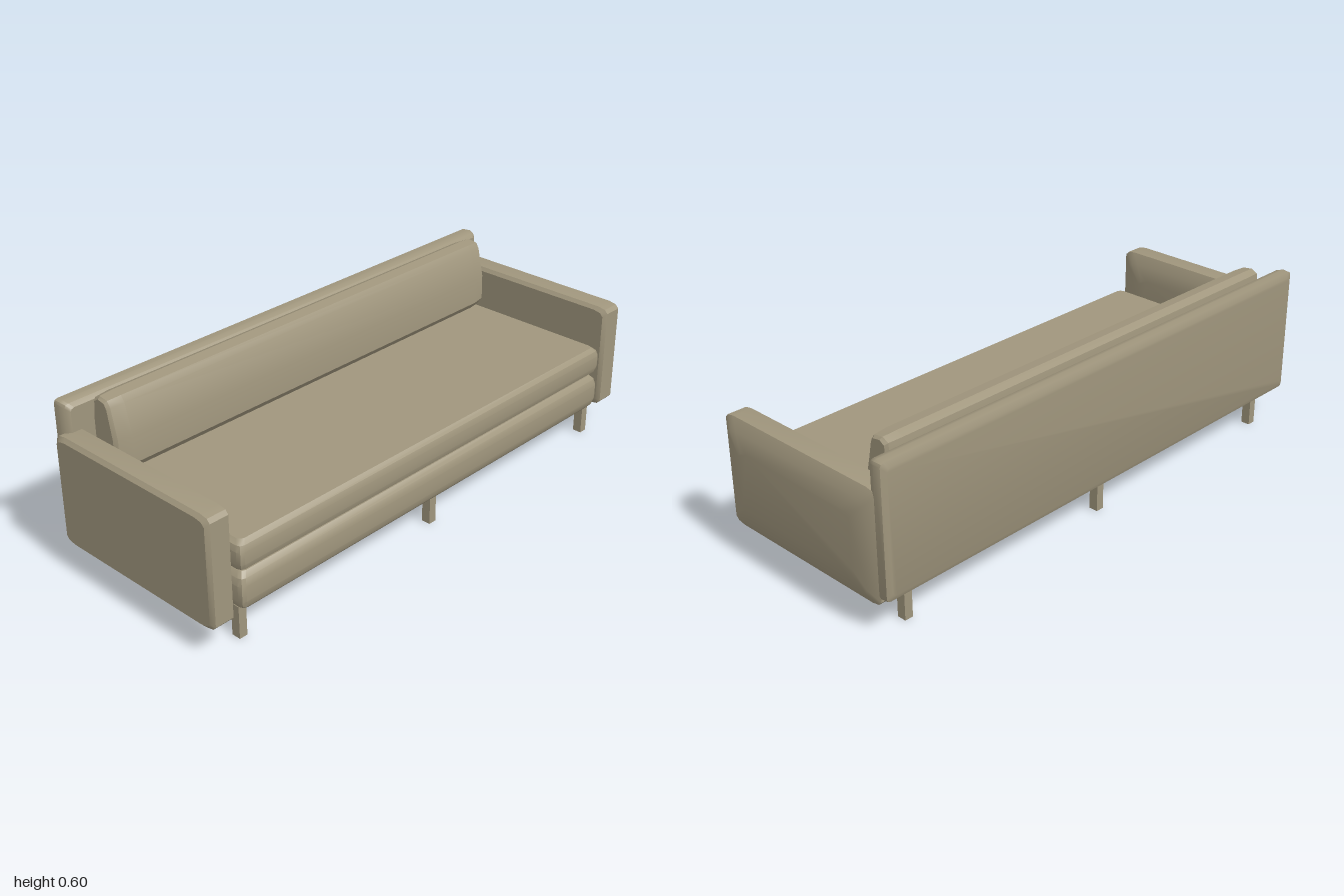
import * as THREE from 'three';
import { toCreasedNormals } from 'three/addons/utils/BufferGeometryUtils.js';

// Rounded rectangle with three points per corner, counter-clockwise in (a, b)
function roundRect(a0, a1, b0, b1, ra, rb, inset = 0) {
  const points = [];
  const corners = [[a1 - inset, b1 - inset, 1, 1], [a0 + inset, b1 - inset, -1, 1],
    [a0 + inset, b0 + inset, -1, -1], [a1 - inset, b0 + inset, 1, -1]];
  corners.forEach(([a, b, sa, sb], k) => {
    for (let i = 0; i < 3; i++) {
      const t = (k + i / 2) * Math.PI / 2;
      points.push([a - sa * ra + ra * Math.cos(t), b - sb * rb + rb * Math.sin(t)]);
    }
  });
  return points;
}

// Joins outlines [position, points] along an axis; (a, b, axis) is right-handed
function loft(axis, sections) {
  const place = {
    x: (a, b, t) => [t, a, b],
    y: (a, b, t) => [b, t, a],
    z: (a, b, t) => [a, b, t],
  }[axis];
  const pos = [], index = [];
  const n = sections[0][1].length;
  sections.forEach(([t, pts]) => pts.forEach(([a, b]) => pos.push(...place(a, b, t))));
  for (let i = 0; i < sections.length - 1; i++) {
    for (let j = 0; j < n; j++) {
      const p = i * n + j, q = i * n + (j + 1) % n;
      index.push(p, q, q + n, p, q + n, p + n);
    }
  }
  const last = (sections.length - 1) * n;
  for (let j = 1; j < n - 1; j++) {
    index.push(0, j + 1, j, last, last + j, last + j + 1);
  }
  const geometry = new THREE.BufferGeometry();
  geometry.setAttribute('position', new THREE.Float32BufferAttribute(pos, 3));
  geometry.setIndex(index);
  return toCreasedNormals(geometry, 0.5);
}

export function createModel() {
  const sofa = new THREE.Group();
  sofa.name = 'sofa';
  const fabric = new THREE.MeshStandardMaterial({ color: 0xa0967d });
  fabric.name = 'taupe fabric';

  const add = (name, geometry) => {
    const mesh = new THREE.Mesh(geometry, fabric);
    mesh.name = name;
    sofa.add(mesh);
    return mesh;
  };

  // Arms: the same pad on both sides, flat on -x and puffed on +x
  const armRings = [[0, 0.012], [0.012, 0], [0.08, 0], [0.101, 0.035], [0.11, 0.09]];
  const arm = loft('x', armRings.map(([x, e]) =>
    [x, roundRect(0.103, 0.49, -0.33, 0.365, 0.018, 0.04, e)]));
  add('rightArm', arm).position.x = -1;
  add('leftArm', arm).position.x = 0.886;

  // Base and seat cushions with soft edges
  const pad = (y0, y1, z0, z1) => {
    const h = y1 - y0;
    const rings = [[0, 0.02], [0.12, 0.006], [0.3, 0], [0.7, 0], [0.88, 0.006], [1, 0.02]];
    return loft('y', rings.map(([t, e]) =>
      [y0 + h * t, roundRect(z0, z1, -0.88, 0.88, 0.018, 0.018, e)]));
  };
  add('base', pad(0.104, 0.236, -0.31, 0.36));
  add('seatCushion', pad(0.24, 0.347, -0.3, 0.36));

  // Back cushion: leaning profile in (y, z), tucked in at both ends
  const profile = [[0.345, -0.275], [0.345, -0.2], [0.375, -0.176], [0.47, -0.178], [0.575, -0.205],
    [0.595, -0.22], [0.6, -0.26], [0.588, -0.286], [0.52, -0.296], [0.375, -0.296]].reverse();
  const scaled = (sy, sz) => profile.map(([y, z]) =>
    [0.47 + (y - 0.47) * sy, -0.245 + (z + 0.245) * sz]);
  add('backCushion', loft('x', [[-0.88, scaled(0.92, 0.7)], [-0.87, scaled(0.98, 0.88)],
    [-0.82, scaled(1, 1)], [0.82, scaled(1, 1)], [0.87, scaled(0.98, 0.88)], [0.88, scaled(0.92, 0.7)]]));

  // Back panel, slightly narrower towards the front
  const panelRings = [[-0.365, 0.02], [-0.357, 0.002], [-0.33, 0], [-0.31, 0.006], [-0.297, 0.018]];
  add('backPanel', loft('z', panelRings.map(([z, e]) =>
    [z, roundRect(-0.97, 0.97, 0.13, 0.589, 0.015, 0.012, e)])));

  // Six square legs
  const leg = new THREE.BoxGeometry(0.03, 0.115, 0.033);
  for (const x of [-0.857, -0.003, 0.852]) {
    for (const [z, name] of [[0.316, 'frontLeg'], [-0.298, 'backLeg']]) {
      add(name, leg).position.set(x, 0.0575, z);
    }
  }
  return sofa;
}
